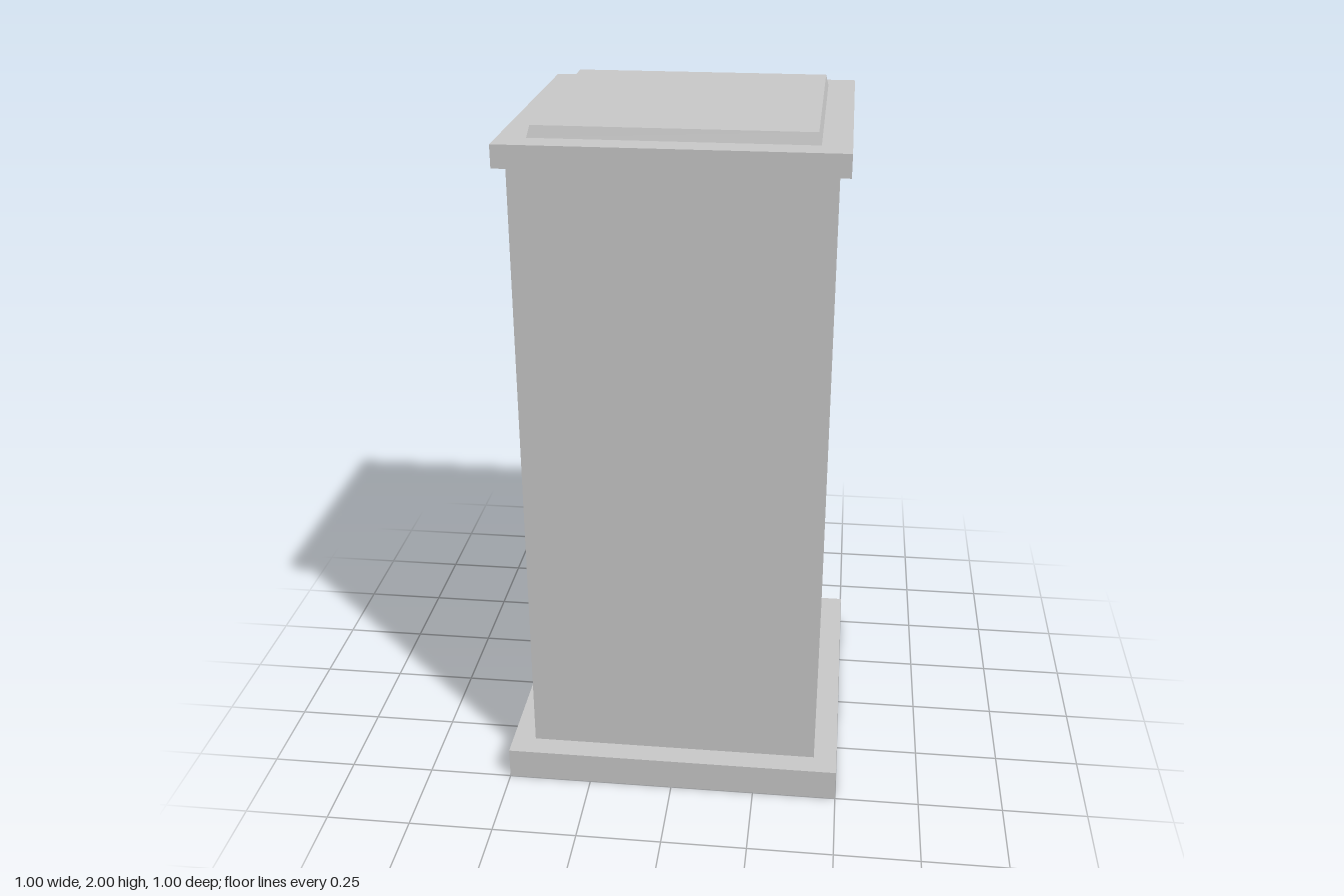
import * as THREE from 'three';

const material = new THREE.MeshStandardMaterial({ color: 0xcccccc, flatShading: true });

// Square block from y0 to y1, with separate half widths at its bottom and top
function block(name, y0, y1, bottom, top = bottom) {
  const geometry = new THREE.BoxGeometry(2 * bottom, y1 - y0, 2 * bottom);
  geometry.translate(0, (y0 + y1) / 2, 0);
  const p = geometry.attributes.position;
  const middle = (y0 + y1) / 2;
  for (let i = 0; i < p.count; i++) {
    if (p.getY(i) > middle) {
      p.setX(i, Math.sign(p.getX(i)) * top);
      p.setZ(i, Math.sign(p.getZ(i)) * top);
    }
  }
  geometry.computeVertexNormals();
  const mesh = new THREE.Mesh(geometry, material);
  mesh.name = name;
  return mesh;
}

export function createModel() {
  const model = new THREE.Group();
  model.name = 'pedestal';
  model.add(
    block('basePlinth', 0, 0.095, 0.5),
    block('shaft', 0.095, 1.905, 0.431),
    block('capSlab', 1.905, 1.968, 0.4625),
    // Shallow bevelled panel on the cap
    block('topPanel', 1.968, 2, 0.383, 0.375),
  );
  return model;
}
